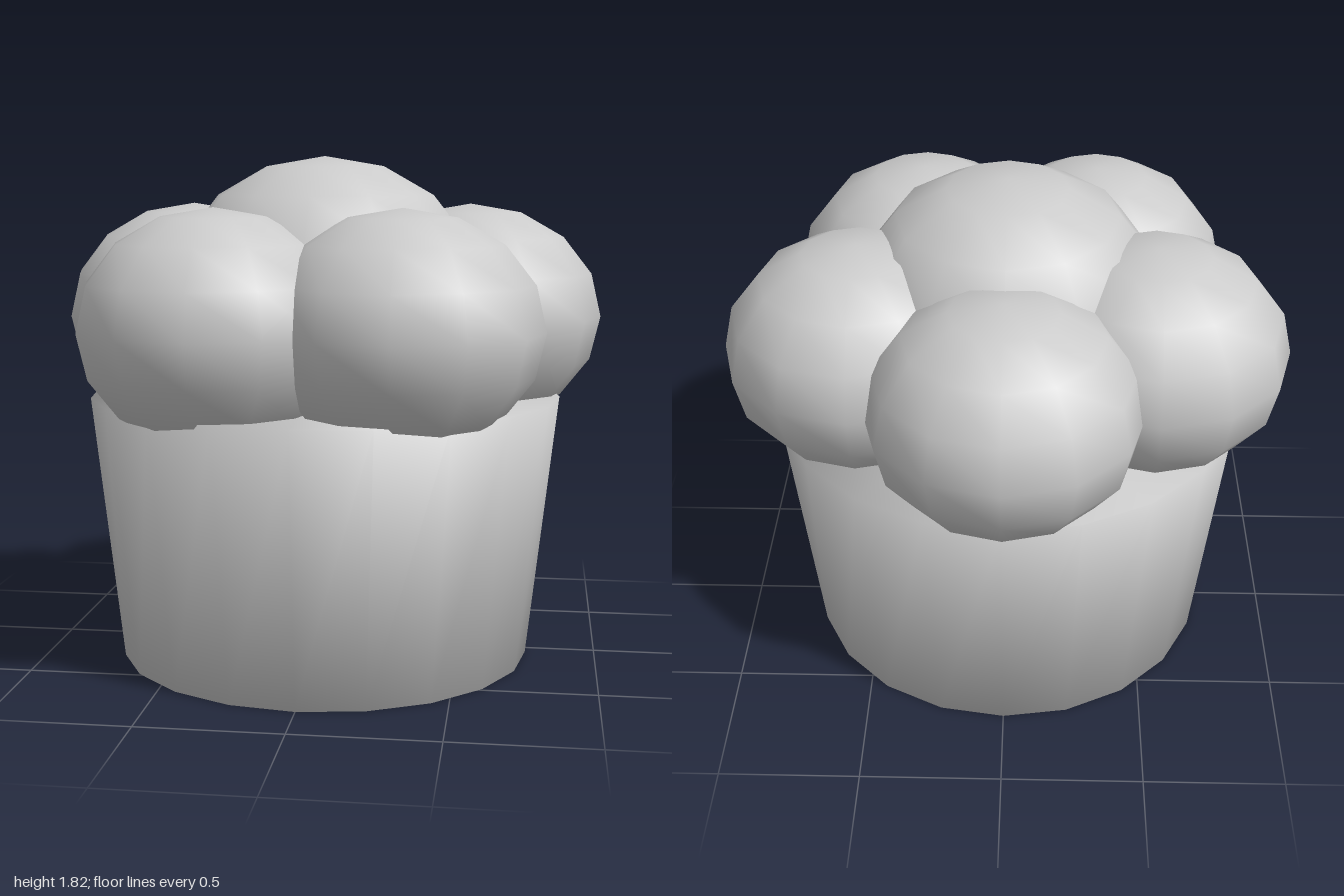
import * as THREE from 'three';
import { mergeVertices } from 'three/addons/utils/BufferGeometryUtils.js';

const material = new THREE.MeshStandardMaterial({ color: 0xcccccc });
const CENTRE_Z = 0.05;

// Flattened, smooth-shaded ball
function puff(name, radius, height, x, y, z) {
  const mesh = new THREE.Mesh(new THREE.SphereGeometry(radius, 12, 8), material);
  mesh.name = name;
  mesh.scale.y = height / radius;
  mesh.position.set(x, y, z);
  return mesh;
}

export function createModel() {
  const model = new THREE.Group();
  model.name = 'pottedBush';

  // Tapered pot, welded so the shading rolls softly over its rims
  let potShape = new THREE.CylinderGeometry(0.853, 0.747, 0.96, 20);
  potShape.deleteAttribute('uv');
  potShape.deleteAttribute('normal');
  potShape = mergeVertices(potShape, 1e-4);
  potShape.computeVertexNormals();
  const pot = new THREE.Mesh(potShape, material);
  pot.name = 'pot';
  pot.position.set(0, 0.48, CENTRE_Z);
  model.add(pot);

  // Ring of five puffs, the first at the back
  const ring = new THREE.Group();
  ring.name = 'puffRing';
  for (let i = 0; i < 5; i++) {
    const a = (i / 5) * Math.PI * 2;
    ring.add(puff(`outerPuff${i + 1}`, 0.48, 0.41,
      Math.sin(a) * 0.545, 1.235, CENTRE_Z - Math.cos(a) * 0.545));
  }
  model.add(ring);

  // Larger puff on top
  model.add(puff('topPuff', 0.555, 0.472, 0, 1.345, CENTRE_Z));

  return model;
}
